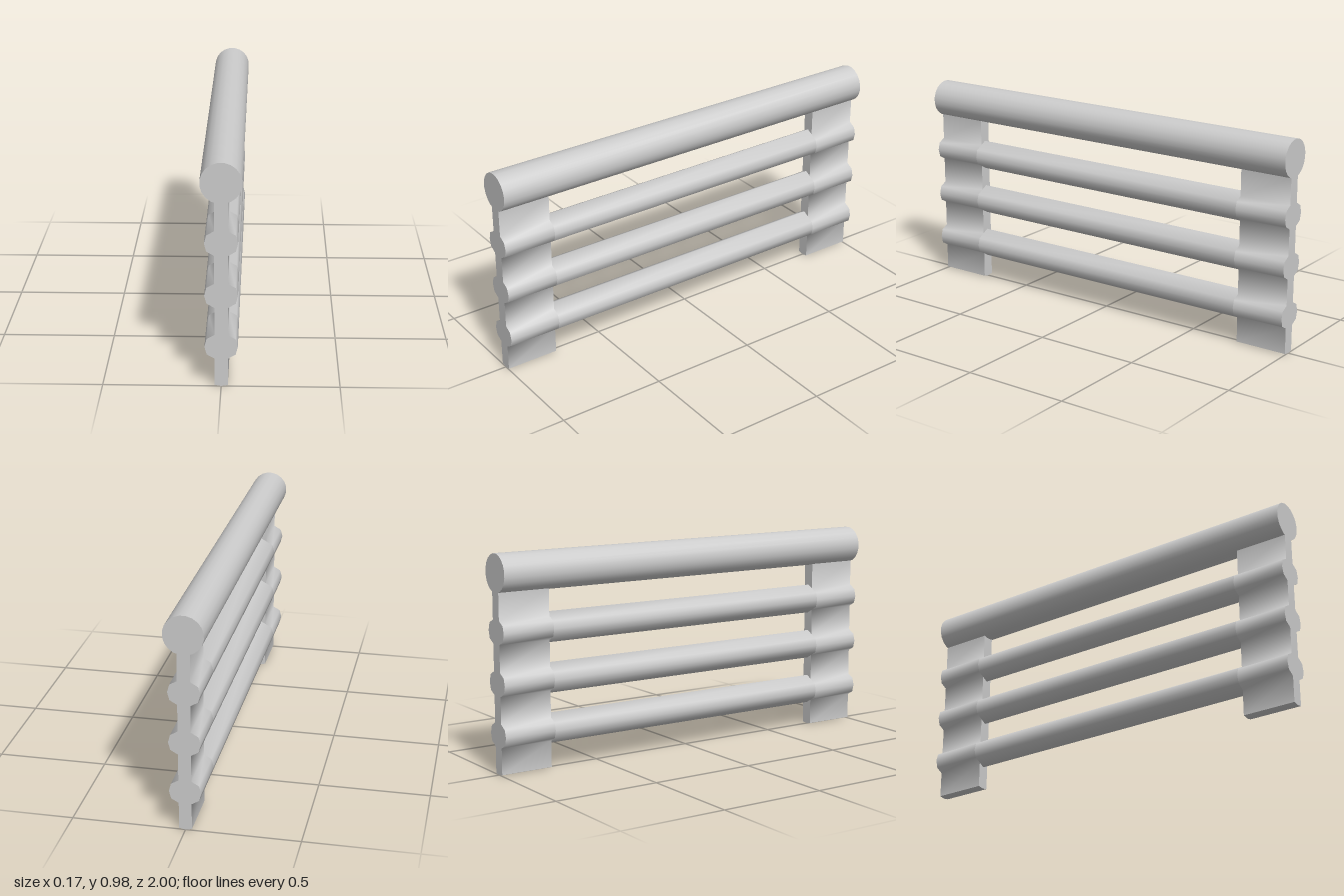
import * as THREE from 'three';
import { toCreasedNormals } from 'three/addons/utils/BufferGeometryUtils.js';

const material = new THREE.MeshStandardMaterial({ color: 0xcccccc });
const RAIL_Y = 0.898, RAIL_R = 0.0875;
const BAR_YS = [0.18, 0.41, 0.64], BAR_R = 0.07;
const HALF = 0.028; // half thickness of a post
const KNEE_X = 0.0606, KNEE_Y = 0.035; // bar facet corner

// Extrude a cross-section (x, y) along z, smooth along the sides and sharp at the ends
function prism(name, points, z0, z1) {
  const shape = new THREE.Shape(points.map(([x, y]) => new THREE.Vector2(x, y)));
  const geometry = new THREE.ExtrudeGeometry(shape, { depth: z1 - z0, bevelEnabled: false });
  geometry.translate(0, 0, z0);
  const mesh = new THREE.Mesh(toCreasedNormals(geometry, 1.1), material);
  mesh.name = name;
  return mesh;
}

// Right half of the post outline, bulging around each bar
function postProfile() {
  const right = [[HALF, 0.005]];
  const shoulder = BAR_R - (BAR_R - KNEE_Y) * HALF / KNEE_X;
  for (const y of BAR_YS) {
    right.push([HALF, y - shoulder], [KNEE_X, y - KNEE_Y], [BAR_R, y],
      [KNEE_X, y + KNEE_Y], [HALF, y + shoulder]);
  }
  right.push([HALF, 0.8163], [0.0137, 0.8116]);
  const left = right.map(([x, y]) => [-x, y]).reverse();
  return [[0, 0], ...right, ...left];
}

export function createModel() {
  const group = new THREE.Group();
  group.name = 'railing';

  // Round top rail
  const rail = [];
  for (let i = 0; i < 20; i++) {
    const a = (i + 0.5) * Math.PI / 10;
    rail.push([RAIL_R * Math.cos(a), RAIL_Y + RAIL_R * Math.sin(a)]);
  }
  group.add(prism('topRail', rail, -1, 1));

  // End posts
  group.add(prism('frontPost', postProfile(), 0.75, 1));
  group.add(prism('backPost', postProfile(), -1, -0.75));

  // Horizontal bars between the posts
  BAR_YS.forEach((y, i) => {
    const section = [[BAR_R, 0], [KNEE_X, KNEE_Y], [0, BAR_R], [-KNEE_X, KNEE_Y],
      [-BAR_R, 0], [-KNEE_X, -KNEE_Y], [0, -BAR_R], [KNEE_X, -KNEE_Y]];
    group.add(prism(`bar${i + 1}`, section.map(([x, dy]) => [x, y + dy]), -0.75, 0.75));
  });

  return group;
}
